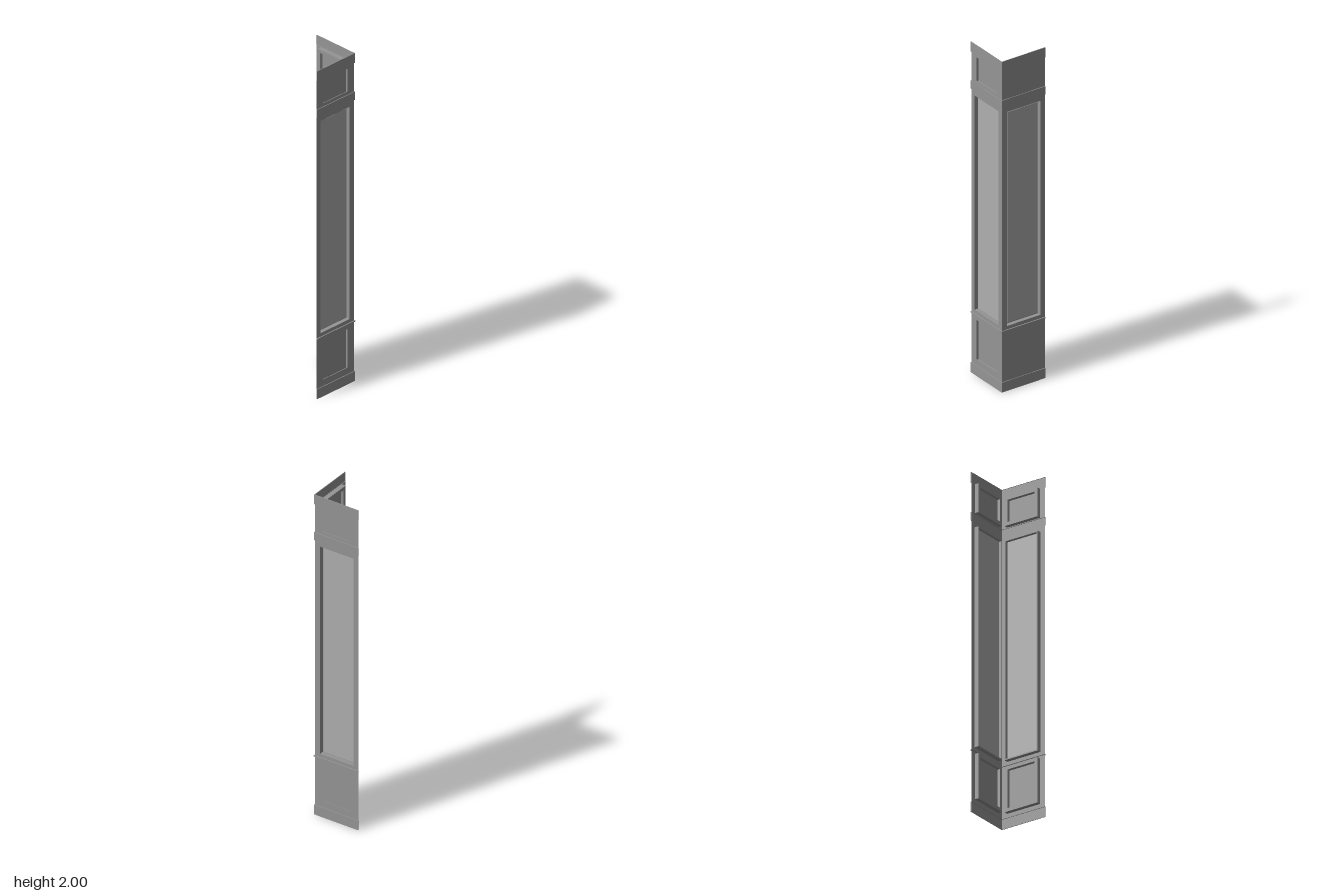
import * as THREE from 'three';

const makeMaterial = (color) => new THREE.MeshStandardMaterial({ color, side: THREE.DoubleSide, flatShading: true });
const bodyMaterial = makeMaterial(0x959595);
const fieldMaterial = makeMaterial(0xafafaf);
const FACE = 0.138; // distance of the wall sheets from the centre
const FREE = -0.144; // free edge of each wall
const CENTRE = -0.004; // middle of the panels along the wall

// Frame profiles: inset from the opening, depth behind the sheet
const wideFrame = [[-0.016, 0], [-0.016, -0.024], [0.004, -0.024], [0.008, -0.012]];
const slimFrame = [[0, 0], [0, -0.024], [0.007, -0.024], [0.011, -0.013]];

// Sheet sections, each with one opening: bottom and top, opening half width, bottom and top
const sections = [
  { name: 'lower', s0: 0.06, s1: 0.362, w: 0.092, y0: 0.1, y1: 0.335, frame: wideFrame, field: bodyMaterial },
  { name: 'middle', s0: 0.369, s1: 1.715, w: 0.109, y0: 0.39, y1: 1.685, frame: slimFrame, field: fieldMaterial },
  { name: 'upper', s0: 1.765, s1: 1.94, w: 0.092, y0: 1.785, y1: 1.923, frame: wideFrame, field: bodyMaterial },
];

// Trim bands: bottom, top, outer distance
const bands = [
  { name: 'baseBoard', y0: 0, y1: 0.06, d: 0.142 },
  { name: 'lowerLedge', y0: 0.362, y1: 0.369, d: 0.144 },
  { name: 'upperBand', y0: 1.715, y1: 1.765, d: 0.142 },
  { name: 'topBand', y0: 1.94, y1: 2, d: 0.142 },
];

function rectangle(path, x0, x1, y0, y1) {
  return path.moveTo(x0, y0).lineTo(x1, y0).lineTo(x1, y1).lineTo(x0, y1).closePath();
}

// Panel frame made of nested rectangles joined by strips
function frameGeometry({ w, y0, y1, frame }, cx) {
  const positions = [];
  const index = [];
  frame.forEach(([inset, depth], r) => {
    const a = w - inset, b = y0 + inset, t = y1 - inset;
    positions.push(cx - a, b, depth, cx + a, b, depth, cx + a, t, depth, cx - a, t, depth);
    if (r === 0) return;
    for (let i = 0; i < 4; i++) {
      const j = (i + 1) % 4, o = (r - 1) * 4, n = r * 4;
      index.push(o + i, o + j, n + j, o + i, n + j, n + i);
    }
  });
  const geometry = new THREE.BufferGeometry();
  geometry.setAttribute('position', new THREE.Float32BufferAttribute(positions, 3));
  geometry.setIndex(index);
  const flat = geometry.toNonIndexed();
  flat.computeVertexNormals();
  return flat;
}

// One wall; side = 1 has the shared corner at +x, side = -1 at -x
function createWall(name, side) {
  const wall = new THREE.Group();
  wall.name = name;
  const add = (geometry, partName, material, x, y, z) => {
    const mesh = new THREE.Mesh(geometry, material);
    mesh.name = partName;
    mesh.position.set(x, y, z);
    wall.add(mesh);
  };
  const cx = CENTRE * side;

  // Sheets with openings, their frames and the fields inside
  for (const s of sections) {
    const sheet = rectangle(new THREE.Shape(), FREE * side, FACE * side, s.s0, s.s1);
    sheet.holes.push(rectangle(new THREE.Path(), cx - s.w, cx + s.w, s.y0, s.y1));
    add(new THREE.ShapeGeometry(sheet), s.name + 'Sheet', bodyMaterial, 0, 0, FACE);
    add(frameGeometry(s, cx), s.name + 'Frame', bodyMaterial, 0, 0, FACE);

    const [inset, depth] = s.frame[s.frame.length - 1];
    const field = new THREE.PlaneGeometry(2 * (s.w - inset), s.y1 - s.y0 - 2 * inset);
    add(field, s.name + 'Field', s.field, cx, (s.y0 + s.y1) / 2, FACE + depth);
  }

  // Hollow bands, open at the back, meeting those of the other wall
  for (const b of bands) {
    const box = new THREE.BoxGeometry(b.d - FREE, b.y1 - b.y0, b.d - FACE);
    box.setIndex(Array.from(box.index.array.slice(0, 30)));
    add(box, b.name, bodyMaterial, (side * (b.d + FREE)) / 2, (b.y0 + b.y1) / 2, (b.d + FACE) / 2);
  }
  return wall;
}

export function createModel() {
  const model = new THREE.Group();
  model.name = 'cornerPilaster';
  const sideWall = createWall('leftWall', -1);
  sideWall.rotation.y = Math.PI / 2;
  model.add(createWall('frontWall', 1), sideWall);
  return model;
}
